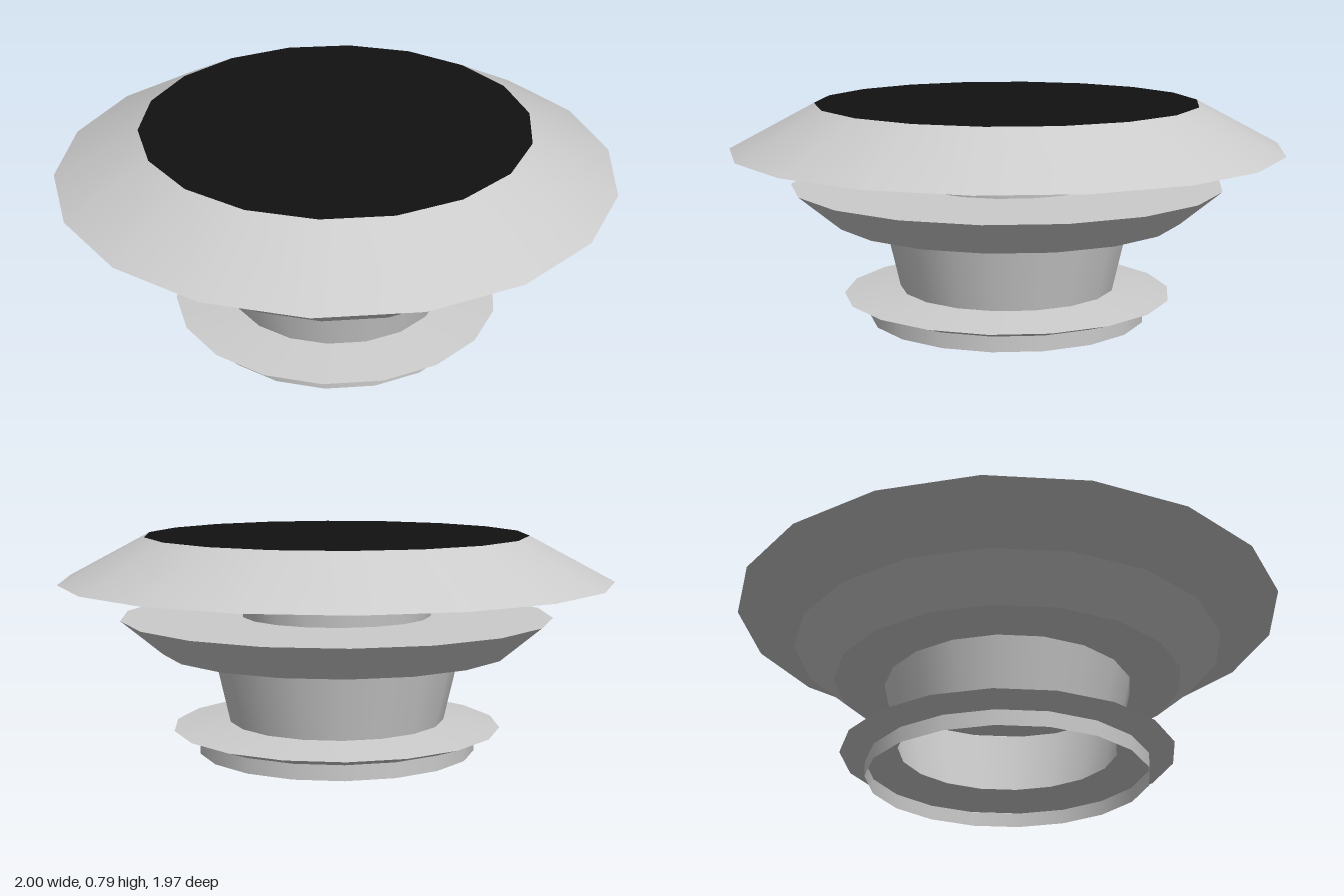
import * as THREE from 'three';

const SIDES = 18;

export function createModel() {
  const model = new THREE.Group();
  const grey = new THREE.MeshStandardMaterial({ color: 0xcccccc, side: THREE.DoubleSide });
  const black = new THREE.MeshStandardMaterial({ color: 0x111111, side: THREE.DoubleSide });

  // Thin turned shell: one lathe band per profile step, so profile edges stay sharp
  function turned(name, profile) {
    const part = new THREE.Group();
    part.name = name;
    for (let i = 0; i < profile.length - 1; i++) {
      const points = [profile[i], profile[i + 1]].map(([r, y]) => new THREE.Vector2(r, y));
      const band = new THREE.Mesh(new THREE.LatheGeometry(points, SIDES, Math.PI / 2), grey);
      band.name = `${name}Band${i + 1}`;
      part.add(band);
    }
    model.add(part);
  }

  // Hollow body, from the open foot up to the wide head; points are [radius, height]
  turned('footRing', [[0.508, 0], [0.508, 0.055]]);
  turned('lowerFlange', [[0.508, 0.055], [0.6, 0.088], [0.395, 0.112]]);
  turned('lowerNeck', [[0.395, 0.112], [0.45, 0.355]]);
  turned('middleFlange', [[0.45, 0.355], [0.635, 0.37], [0.785, 0.495], [0.345, 0.495]]);
  turned('upperNeck', [[0.345, 0.495], [0.36, 0.612]]);
  turned('headRim', [[0.36, 0.612], [1, 0.628], [0.695, 0.79]]);

  // Black flat top
  const cap = new THREE.Mesh(new THREE.CircleGeometry(0.695, SIDES).rotateX(-Math.PI / 2), black);
  cap.name = 'topCap';
  cap.position.y = 0.79;
  model.add(cap);

  return model;
}
